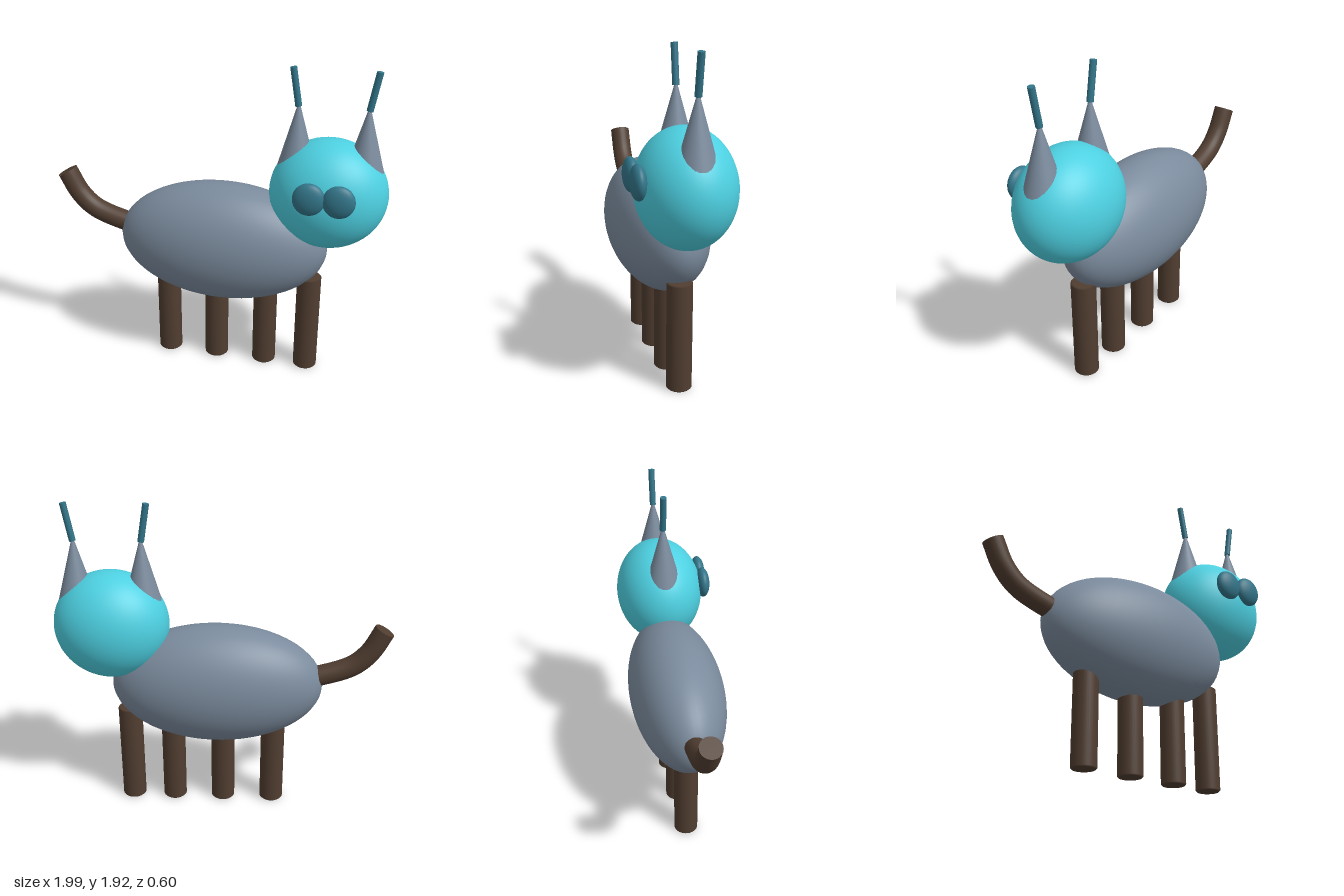
import * as THREE from 'three';

const Z = -0.015; // depth of the plane that most parts share

const paint = (color) => new THREE.MeshStandardMaterial({ color });
const slate = paint(0x7b8b9d);
const aqua = paint(0x4dd0e1);
const teal = paint(0x33768a);
const brown = paint(0x503d30);

export function createModel() {
  const model = new THREE.Group();

  const add = (name, geometry, material, x, y, z = Z) => {
    const mesh = new THREE.Mesh(geometry, material);
    mesh.name = name;
    mesh.position.set(x, y, z);
    model.add(mesh);
    return mesh;
  };
  const ellipsoid = (rx, ry, rz) => new THREE.SphereGeometry(1, 48, 32).scale(rx, ry, rz);

  // Body and head
  add('body', ellipsoid(0.635, 0.372, 0.285), slate, 0.035, 0.82);
  add('head', ellipsoid(0.34, 0.325, 0.27), aqua, 0.655, 1.195);

  // Four legs in one row, with slightly rounded rims
  const r = 0.073, h = 0.64, b = 0.008;
  const legProfile = [[0, 0], [r - b, 0], [r, b], [r, h - b], [r - b, h], [0, h]]
    .map(([x, y]) => new THREE.Vector2(x, y));
  const legGeometry = new THREE.LatheGeometry(legProfile, 32);
  [-0.31, 0, 0.31, 0.575].forEach((x, i) => add(`leg${i + 1}`, legGeometry, brown, x, 0));

  // Paired head parts
  for (const side of [-1, 1]) {
    const label = side > 0 ? 'left' : 'right';
    add(`${label}Eye`, ellipsoid(0.09, 0.094, 0.043), teal, 0.655 + side * 0.082, 1.263, 0.255);
    add(`${label}Ear`, new THREE.CylinderGeometry(0.006, 0.107, 0.36, 32), slate, 0.655 + side * 0.192, 1.53);
    // Thin rod leaning outward from the ear tip
    const rod = add(`${label}EarRod`, new THREE.CylinderGeometry(0.019, 0.019, 0.22, 20), teal,
      0.655 + side * 0.212, 1.806);
    rod.rotation.z = -side * 0.17;
  }

  // Curved tail with a flat end
  const path = new THREE.CatmullRomCurve3([
    [-0.44, 0.85], [-0.585, 0.88], [-0.775, 0.95], [-0.87, 1.04], [-0.945, 1.18],
  ].map(([x, y]) => new THREE.Vector3(x, y, 0)));
  add('tail', new THREE.TubeGeometry(path, 32, 0.062, 24), brown, 0, 0);
  const tip = path.getPoint(1);
  const cap = add('tailEnd', new THREE.CircleGeometry(0.062, 24), brown, tip.x, tip.y);
  cap.quaternion.setFromUnitVectors(new THREE.Vector3(0, 0, 1), path.getTangent(1));

  return model;
}
